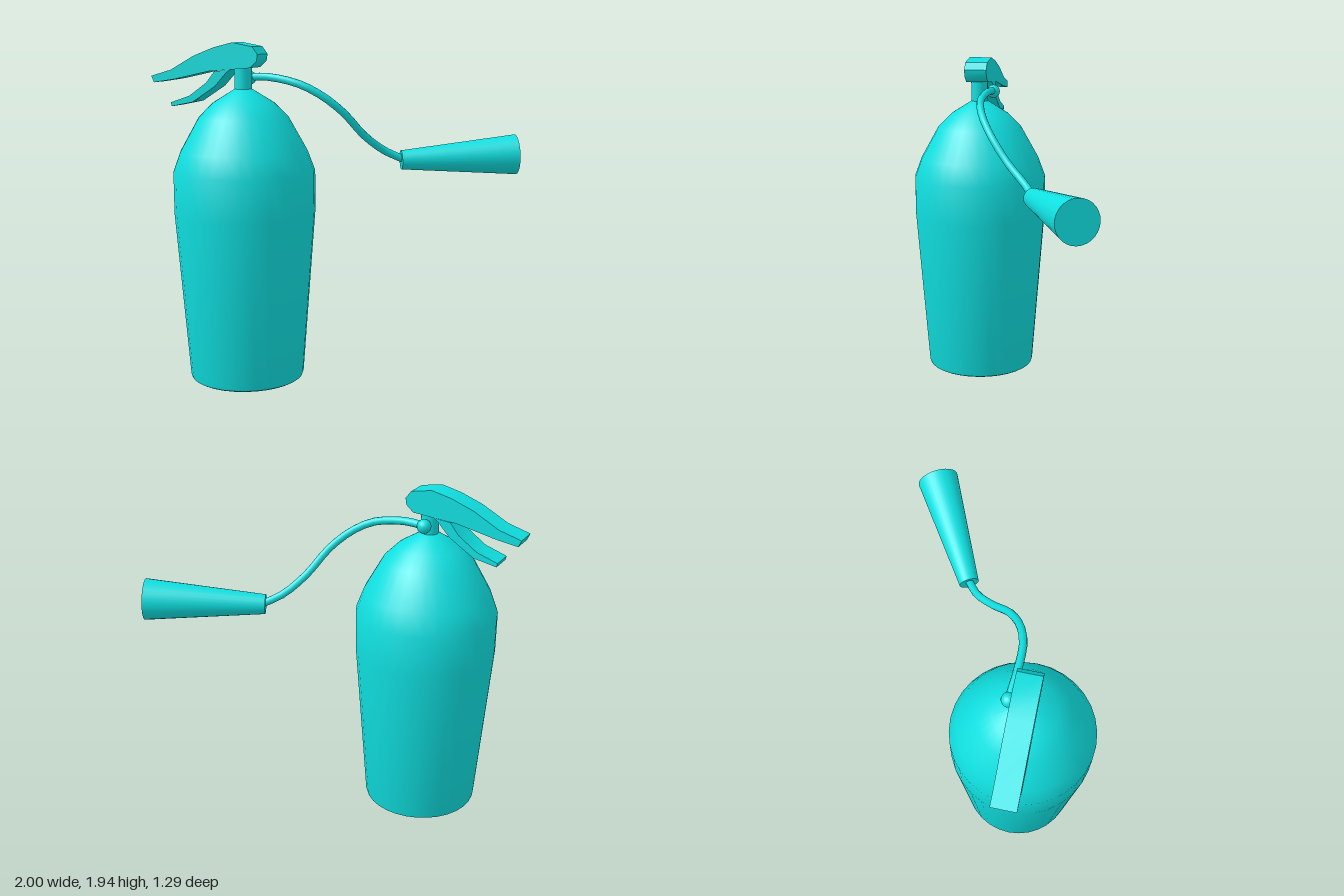
import * as THREE from 'three';
import { toCreasedNormals } from 'three/addons/utils/BufferGeometryUtils.js';

export function createModel() {
  const group = new THREE.Group();
  const material = new THREE.MeshStandardMaterial({ color: 0x10dfe0 });
  const axisX = -0.447, axisZ = 0.24;

  const add = (name, geometry, x = 0, y = 0, z = 0) => {
    const mesh = new THREE.Mesh(geometry, material);
    mesh.name = name;
    mesh.position.set(x, y, z);
    group.add(mesh);
    return mesh;
  };

  // Tapered tank with a domed shoulder and a small bevel at the foot
  const profile = [
    [0, 0], [0.313, 0], [0.326, 0.008], [0.331, 0.025], [0.403, 0.98], [0.403, 1.215],
    [0.36, 1.33], [0.254, 1.52], [0.174, 1.6], [0.05, 1.677], [0, 1.685],
  ].map(([r, y]) => new THREE.Vector2(r, y));
  add('tank', toCreasedNormals(new THREE.LatheGeometry(profile, 32), 0.7), axisX, 0, axisZ);

  // Neck between the tank and the handles
  add('neck', new THREE.CylinderGeometry(0.05, 0.05, 0.15, 20), axisX, 1.735, axisZ);

  // Handles: side outlines extruded across z
  const width = 0.134;
  const addHandle = (name, outline) => {
    const shape = new THREE.Shape(outline.map(([x, y]) => new THREE.Vector2(x, y)));
    const geometry = new THREE.ExtrudeGeometry(shape, { depth: width, bevelEnabled: false });
    add(name, toCreasedNormals(geometry, 0.7), 0, 0, axisZ - width / 2);
  };
  addHandle('squeezeLever', [
    [-1, 1.743], [-0.984, 1.706], [-0.85, 1.727], [-0.631, 1.775], [-0.497, 1.786],
    [-0.374, 1.797], [-0.332, 1.834], [-0.326, 1.872], [-0.358, 1.914], [-0.481, 1.936],
    [-0.594, 1.909], [-0.722, 1.861], [-0.872, 1.78],
  ]);
  addHandle('carryHandle', [
    [-0.877, 1.594], [-0.872, 1.572], [-0.738, 1.599], [-0.594, 1.69], [-0.524, 1.765],
    [-0.497, 1.786], [-0.594, 1.775], [-0.647, 1.711], [-0.754, 1.636],
  ]);

  // Ball joint where the hose leaves the neck
  add('hoseJoint', new THREE.SphereGeometry(0.04, 16, 12), -0.45, 1.735, 0.155);

  // Hose
  const path = new THREE.CatmullRomCurve3([
    [-0.45, 1.738, 0.155], [-0.396, 1.743, 0.16], [-0.3, 1.74, 0.168], [-0.135, 1.706, 0.167],
    [-0.015, 1.642, 0.13], [0.087, 1.545, 0.058], [0.17, 1.41, -0.053],
    [0.258, 1.312, -0.165], [0.36, 1.255, -0.238],
  ].map((p) => new THREE.Vector3(...p)));
  add('hose', new THREE.TubeGeometry(path, 18, 0.022, 10));

  // Discharge horn, widening away from the hose
  const start = new THREE.Vector3(0.34, 1.254, -0.228);
  const end = new THREE.Vector3(0.944, 1.277, -0.545);
  const axis = end.clone().sub(start);
  const horn = add('horn', new THREE.CylinderGeometry(0.118, 0.056, axis.length(), 28));
  horn.position.copy(start).add(end).multiplyScalar(0.5);
  horn.quaternion.setFromUnitVectors(new THREE.Vector3(0, 1, 0), axis.normalize());

  return group;
}
